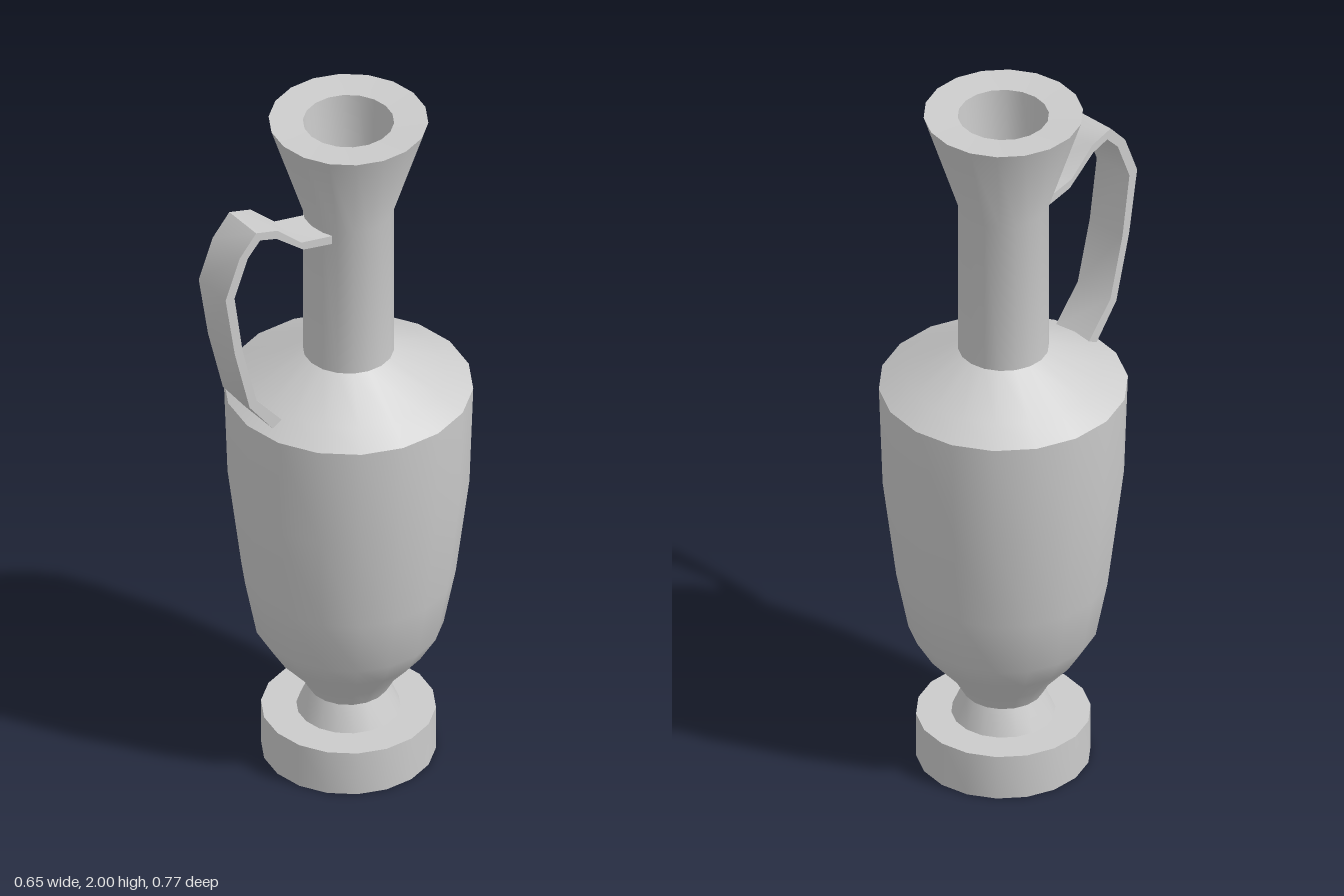
import * as THREE from 'three';
import { toCreasedNormals } from 'three/addons/utils/BufferGeometryUtils.js';

const SIDES = 18;
const AXIS_Z = -0.06; // the vessel sits behind centre, the handle in front
const CREASE = 0.9;

const material = new THREE.MeshStandardMaterial({ color: 0xcccccc, side: THREE.DoubleSide });
const vectors = (pairs) => pairs.map(([a, b]) => new THREE.Vector2(a, b));

function addMesh(group, name, geometry) {
  const mesh = new THREE.Mesh(toCreasedNormals(geometry, CREASE), material);
  mesh.name = name;
  group.add(mesh);
  return mesh;
}

// Turned part from [radius, height] pairs
function addTurned(group, name, profile) {
  addMesh(group, name, new THREE.LatheGeometry(vectors(profile), SIDES)).position.z = AXIS_Z;
}

export function createModel() {
  const group = new THREE.Group();
  group.name = 'vase';

  // Disc foot
  addTurned(group, 'foot', [[0, 0], [0.23, 0], [0.23, 0.13], [0.13, 0.13]]);

  // Stem, tapering body and sloping shoulder
  addTurned(group, 'body', [
    [0.137, 0.13], [0.107, 0.2], [0.135, 0.25], [0.205, 0.33], [0.25, 0.405],
    [0.282, 0.57], [0.318, 0.86], [0.328, 1.155], [0.26, 1.193], [0.12, 1.27],
  ]);

  // Neck, flared mouth, flat rim and the well inside it
  addTurned(group, 'neckAndMouth', [
    [0.12, 1.265], [0.12, 1.72], [0.21, 2], [0.12, 1.995], [0.11, 1.75], [0.06, 1.725], [0, 1.715],
  ]);

  // Strap handle: side outline in (z, y), extruded across x
  const outline = [
    [0.04, 1.705], [0.14, 1.725], [0.217, 1.795], [0.286, 1.815], [0.34, 1.755],
    [0.385, 1.64], [0.355, 1.455], [0.307, 1.265], [0.23, 1.165],
    [0.2, 1.18], [0.285, 1.28], [0.33, 1.457], [0.356, 1.635], [0.313, 1.745],
    [0.273, 1.787], [0.22, 1.77], [0.133, 1.7], [0.04, 1.68],
  ];
  const strap = new THREE.ExtrudeGeometry(new THREE.Shape(vectors(outline)), {
    depth: 0.12,
    bevelEnabled: false,
  });
  strap.rotateY(-Math.PI / 2).translate(0.065, 0, 0);
  addMesh(group, 'handle', strap);

  return group;
}
